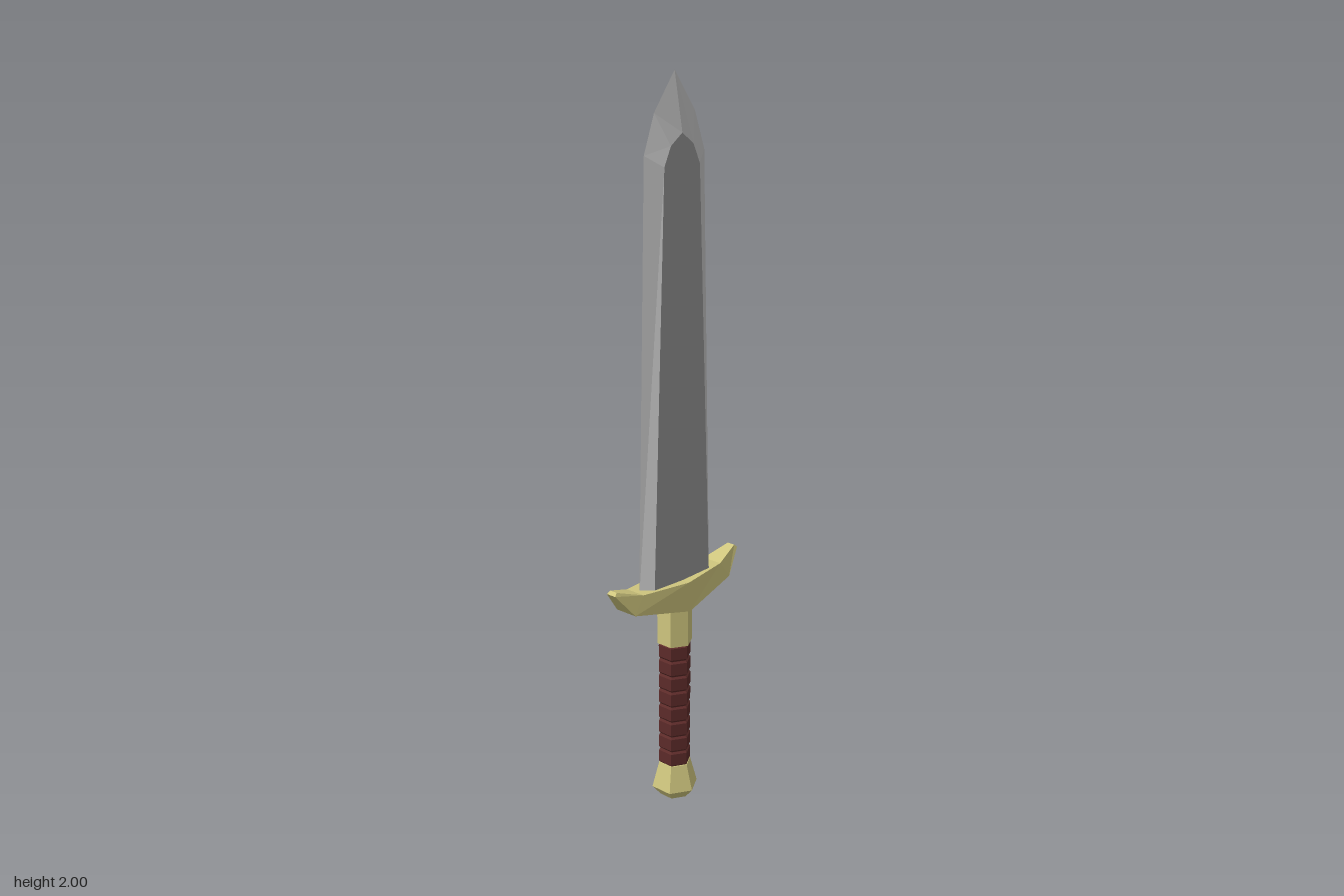
import * as THREE from 'three';

const paint = (name, color) => {
  const m = new THREE.MeshStandardMaterial({ color, flatShading: true });
  m.name = name;
  return m;
};

// Mirrors a quarter's quads over x and z, flipping corner order where needed.
function mirroredQuads(quads) {
  const out = [];
  for (const sx of [1, -1]) for (const sz of [1, -1]) {
    for (const q of quads) {
      const p = q.map(([x, y, z]) => [x * sx, y, z * sz]);
      if (sx * sz < 0) p.reverse();
      out.push(...p[0], ...p[1], ...p[2], ...p[0], ...p[2], ...p[3]);
    }
  }
  const g = new THREE.BufferGeometry();
  g.setAttribute('position', new THREE.Float32BufferAttribute(out, 3));
  g.computeVertexNormals();
  return g;
}

// Six-sided turned part with corners towards the front and back.
function hexLathe(profile) {
  const pts = profile.map(([r, y]) => new THREE.Vector2(r, y));
  const g = new THREE.LatheGeometry(pts, 6).toNonIndexed();
  g.computeVertexNormals();
  return g;
}

export function createModel() {
  const steel = paint('dark steel', 0x999999);
  const edgeSteel = paint('light steel', 0xc4c4c4);
  const gold = paint('pale gold', 0xcfc67e);
  const leather = paint('red brown leather', 0x5c2b29);

  const group = new THREE.Group();
  group.name = 'sword';
  const add = (name, geometry, material) => {
    const mesh = new THREE.Mesh(geometry, material);
    mesh.name = name;
    group.add(mesh);
  };

  // Blade: flat centre faces and bevels running out to a sharp edge
  const inner = [[0.11, 0.64, 0.028], [0.066, 1.77, 0.026], [0.042, 1.82, 0.026], [0, 1.85, 0.026]];
  const outer = [[0.14, 0.64, 0], [0.112, 1.8, 0], [0.075, 1.9, 0], [0, 2, 0]];
  const flats = [], bevels = [];
  for (let i = 0; i < 3; i++) {
    const a = inner[i], b = inner[i + 1];
    flats.push([[0, a[1], a[2]], a, b, [0, b[1], b[2]]]);
    bevels.push([a, outer[i], outer[i + 1], b]);
  }
  add('bladeFlats', mirroredQuads(flats), steel);
  add('bladeBevels', mirroredQuads(bevels), edgeSteel);

  // Guard: upswept arms tapering towards the tips
  const top = [[0, 0.658, 0.053], [0.155, 0.663, 0.031], [0.237, 0.69, 0.012]];
  const bottom = [[0, 0.575, 0.057], [0.19, 0.615, 0.034], [0.246, 0.682, 0.015]];
  const mid = ([x, y]) => [x, y, 0];
  const guard = [[bottom[2], mid(bottom[2]), mid(top[2]), top[2]]];
  for (let i = 0; i < 2; i++) {
    const t = top[i], u = top[i + 1], b = bottom[i], c = bottom[i + 1];
    guard.push([b, c, u, t], [t, u, mid(u), mid(t)], [mid(b), mid(c), c, b]);
  }
  add('guard', mirroredQuads(guard), gold);

  // Collar between guard and grip
  add('collar', hexLathe([[0, 0.47], [0.05, 0.47], [0.05, 0.62]]), gold);

  // Grip: stacked leather bands with narrow grooves
  const bands = 8, y0 = 0.1, step = 0.37 / bands;
  const grip = [];
  for (let i = 0; i < bands; i++) {
    const y = y0 + i * step;
    grip.push([0.04, y], [0.046, y + 0.006], [0.046, y + step - 0.006], [0.04, y + step - 0.001]);
  }
  add('grip', hexLathe(grip), leather);

  // Pommel
  add('pommel', hexLathe([[0, 0], [0.042, 0], [0.066, 0.028], [0.046, 0.102], [0, 0.102]]), gold);

  return group;
}
